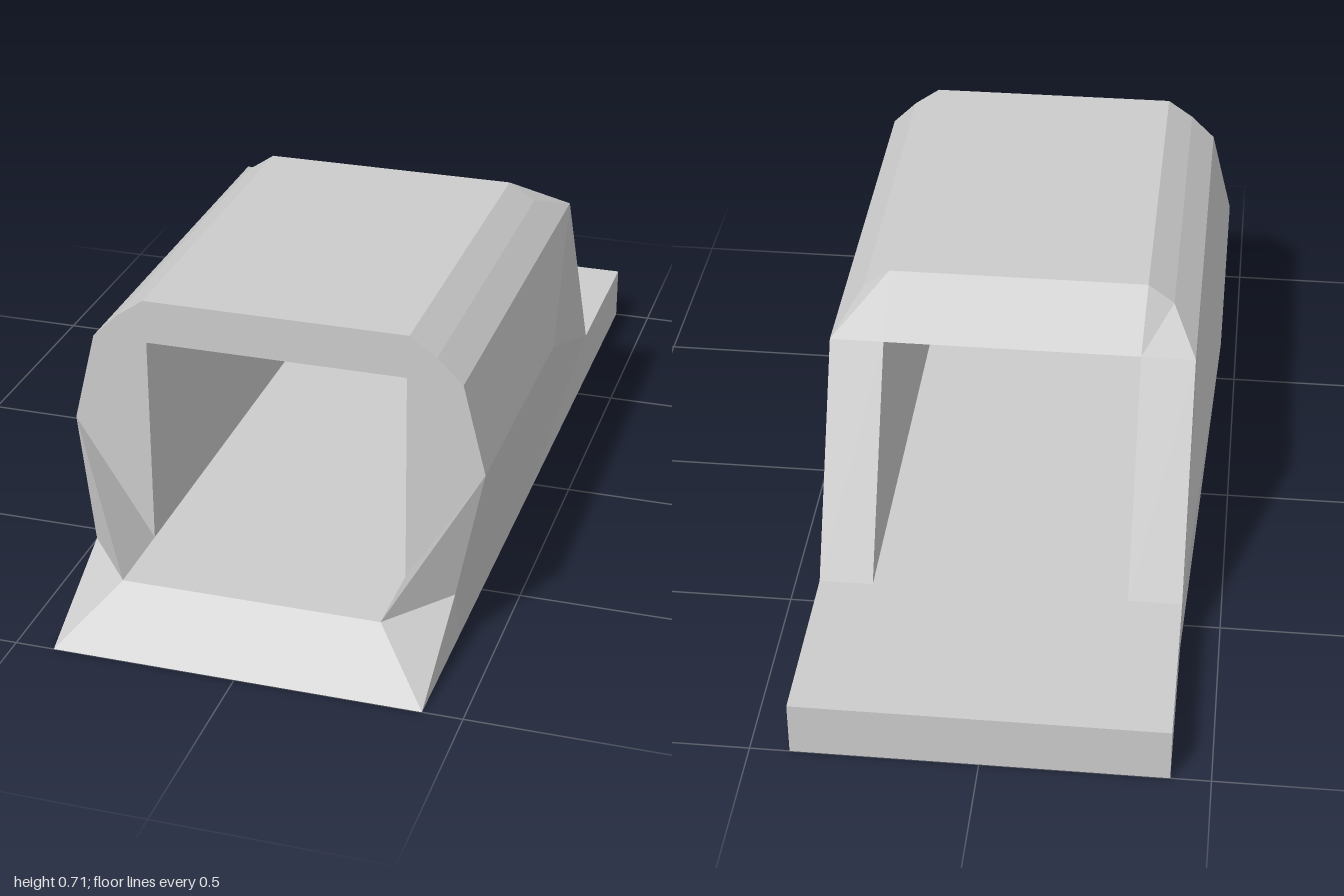
import * as THREE from 'three';

// Key corners of the +x half; a leading '-' mirrors a corner to the other side
const corners = {
  // hull side: widest line, shoulder, chamfer, roof edge
  wide: [0.463, 0.407, 0.7], wideMid: [0.463, 0.407, 0.06],
  shoulder: [0.412, 0.612, 0.7], shoulderMid: [0.412, 0.612, 0.06], shoulderBack: [0.412, 0.612, -0.31],
  bevel: [0.355, 0.668, 0.7], bevelBack: [0.355, 0.668, -0.17],
  roof: [0.295, 0.71, 0.7], roofBack: [0.295, 0.71, -0.165],
  // tunnel opening
  lintel: [0.29, 0.612, 0.7], lintelBack: [0.29, 0.612, -0.31],
  floor: [0.29, 0.13, 0.7], floorBack: [0.29, 0.13, -0.58], floorLip: [0.29, 0.13, 0.89],
  // base
  pillarBack: [0.412, 0.13, -0.58], cheek: [0.412, 0.13, 0.74], toe: [0.412, 0, 1],
  foot: [0.412, 0, 0.7], footMid: [0.412, 0, 0.06], footBack: [0.412, 0, -0.58],
  deckBack: [0.412, 0.13, -1], heel: [0.412, 0, -1],
};

function corner(name) {
  if (name[0] !== '-') return corners[name];
  const [x, y, z] = corners[name.slice(1)];
  return [-x, y, z];
}

const mirrored = (face) => face.map((n) => '-' + n).reverse();

export function createModel() {
  const group = new THREE.Group();
  const material = new THREE.MeshStandardMaterial({ color: 0xcccccc, flatShading: true });

  // Each face is a list of corner names, counter-clockwise from outside
  function addPart(name, faces) {
    const positions = [];
    for (const face of faces) {
      const p = face.split(' ').map(corner);
      for (let i = 1; i < p.length - 1; i++) positions.push(...p[0], ...p[i], ...p[i + 1]);
    }
    const geometry = new THREE.BufferGeometry();
    geometry.setAttribute('position', new THREE.Float32BufferAttribute(positions, 3));
    geometry.computeVertexNormals();
    const mesh = new THREE.Mesh(geometry, material);
    mesh.name = name;
    group.add(mesh);
  }

  function addPair(name, faces) {
    addPart(name + 'Left', faces);
    addPart(name + 'Right', faces.map((f) => mirrored(f.split(' ')).join(' ')));
  }

  // Base slab with a sloped front lip
  addPart('base', [
    'floorLip floorBack -floorBack -floorLip',
    'pillarBack deckBack -deckBack -pillarBack',
    '-toe toe floorLip -floorLip',
    'heel -heel -deckBack deckBack',
    '-toe -heel heel toe',
  ]);
  addPair('baseSide', ['footBack heel deckBack pillarBack', 'toe foot cheek', 'floorLip toe cheek']);

  // Roof with sloped rear edge, front lintel and tunnel ceiling
  addPart('roof', [
    'roof roofBack -roofBack -roof',
    'lintelBack -lintelBack -roofBack roofBack',
    '-lintel lintel roof -roof',
    '-lintel -lintelBack lintelBack lintel',
  ]);
  addPair('roofChamfer', [
    'shoulder shoulderBack bevelBack bevel',
    'bevel bevelBack roofBack roof',
    'shoulderBack lintelBack roofBack bevelBack',
    'lintel shoulder bevel roof',
  ]);

  // Side walls: outer panels, inner face, front face and rear pillar
  addPair('sideWall', [
    'foot footMid wideMid wide',
    'footMid footBack pillarBack wideMid',
    'wide wideMid shoulderMid shoulder',
    'wideMid pillarBack shoulderBack shoulderMid',
    'pillarBack floorBack lintelBack shoulderBack',
    'floorBack floor lintel lintelBack',
    'floor wide shoulder lintel',
  ]);

  // Pointed gussets joining the front lip to the walls
  addPair('frontGusset', ['floor floorLip wide', 'floorLip cheek wide', 'cheek foot wide']);

  return group;
}
